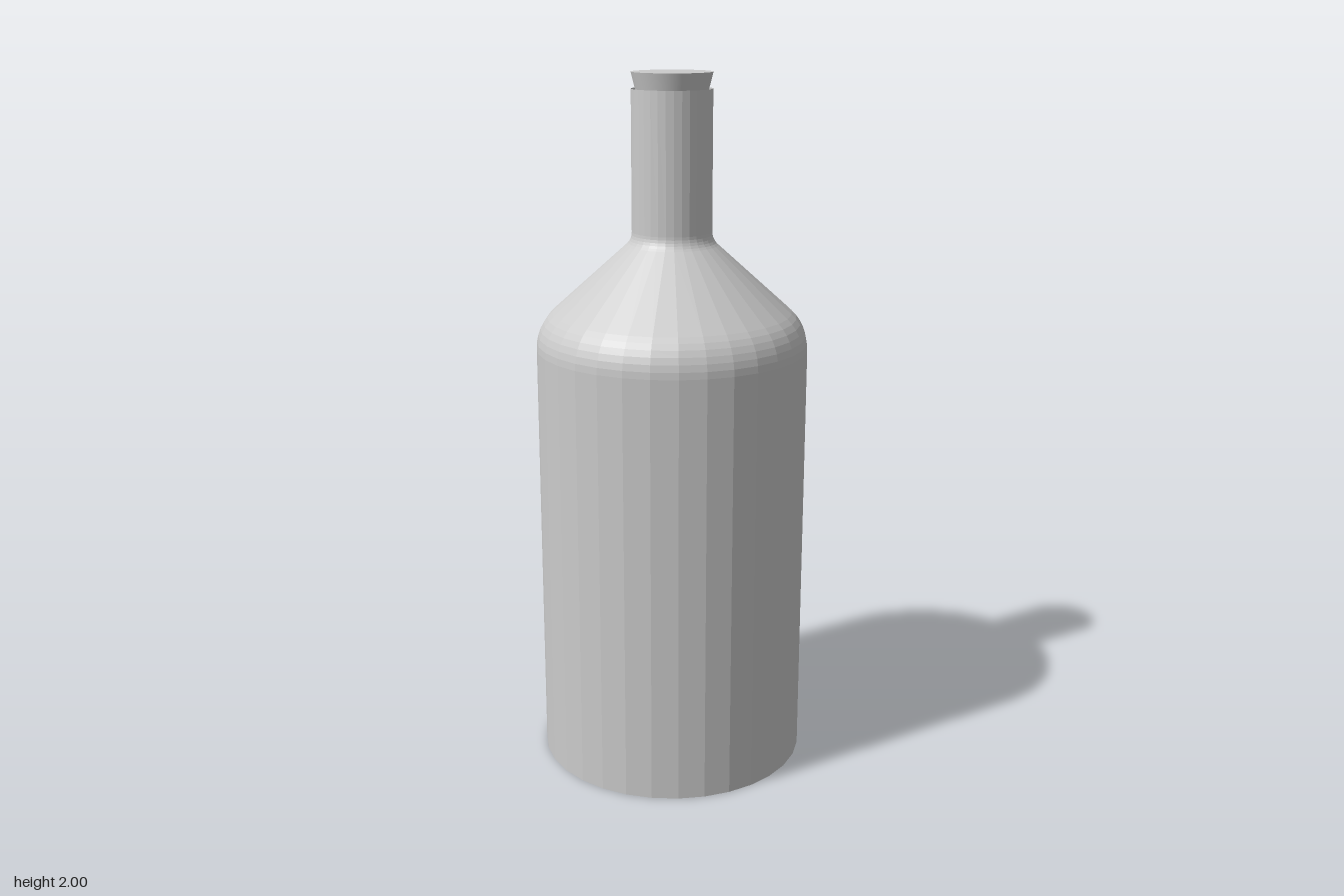
import * as THREE from 'three';

// Points along an arc, angles in degrees measured from +x
function arc(cx, cy, r, from, to, steps) {
  const pts = [];
  for (let i = 0; i <= steps; i++) {
    const a = THREE.MathUtils.degToRad(from + ((to - from) * i) / steps);
    pts.push(new THREE.Vector2(cx + r * Math.cos(a), cy + r * Math.sin(a)));
  }
  return pts;
}

export function createModel() {
  const model = new THREE.Group();
  model.name = 'bottle';

  const bodyRadius = 0.387, neckRadius = 0.113, rimY = 1.955;
  const shoulderR = 0.14, filletR = 0.05;

  // Bottle: flat base, straight wall, rounded shoulder, sloping cone, open neck
  const profile = [
    new THREE.Vector2(0, 0),
    new THREE.Vector2(bodyRadius, 0),
    ...arc(bodyRadius - shoulderR, 1.233, shoulderR, 0, 48, 6),
    ...arc(neckRadius + filletR, 1.564, filletR, 228, 180, 5),
    new THREE.Vector2(neckRadius, rimY),
  ];
  const glass = new THREE.Mesh(
    new THREE.LatheGeometry(profile, 32),
    new THREE.MeshStandardMaterial({ color: 0xcccccc, flatShading: true, side: THREE.DoubleSide })
  );
  glass.name = 'bottleBody';
  model.add(glass);

  // Tapered stopper sitting in the open neck
  const corkHeight = 0.15;
  const cork = new THREE.Mesh(
    new THREE.CylinderGeometry(0.113, 0.075, corkHeight, 64),
    new THREE.MeshStandardMaterial({ color: 0xcccccc })
  );
  cork.name = 'stopper';
  cork.position.y = 2 - corkHeight / 2;
  model.add(cork);

  return model;
}
